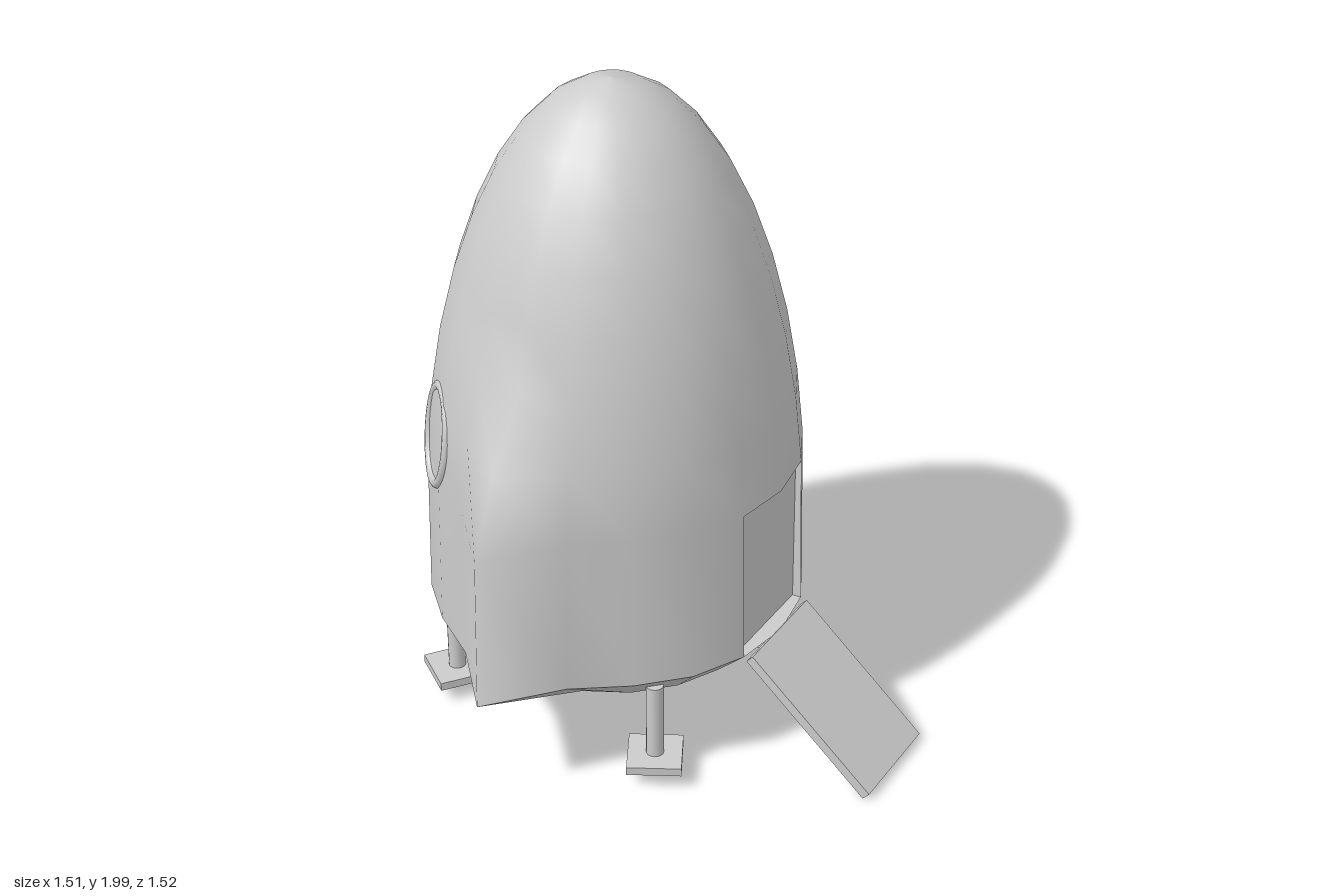
import * as THREE from 'three';

const CX = -0.193, SIDES = 20;
const RIM = 10; // ring at the widest part of the hull
const DOOR_X = 0.31;

const material = (extra = {}) => new THREE.MeshStandardMaterial({ color: 0xcccccc, ...extra });

function add(parent, name, geometry, extra) {
  const mesh = new THREE.Mesh(geometry, material(extra));
  mesh.name = name;
  parent.add(mesh);
  return mesh;
}

// Hull rings from the nose down: [height, radius, fin reach at the two sharp sides]
const rings = [];
for (let k = 0; k < RIM; k++) {
  const a = THREE.MathUtils.degToRad(9 * k);
  rings.push([0.635 + 1.365 * Math.cos(a), 0.555 * Math.sin(a), 0]);
}
rings[8][2] = 0.64;
rings[9][2] = 0.74;
rings.push([0.37, 0.558, 0.758], [0.265, 0.45, 0], [0.241, 0.23, 0], [0.235, 0, 0]);

// Point on a ring; columns 5 and 15 are the fin edges, their neighbours swell slightly
function hullPoint(k, j) {
  const [y, r, fin] = rings[k];
  const a = (j / SIDES) * Math.PI * 2;
  let z = r * Math.sin(a);
  const distance = Math.abs((((j % 10) + 10) % 10) - 5);
  if (fin && distance === 0) z = Math.sign(z) * fin;
  if (fin && distance === 1) z *= 1 + 0.28 * (fin - r);
  return [CX + r * Math.cos(a), y, z];
}

// Skin between two rings, leaving out cells for which skip() is true
function skin(first, last, skip = () => false) {
  const positions = [], index = [];
  for (let k = first; k <= last; k++)
    for (let j = 0; j < SIDES; j++) positions.push(...hullPoint(k, j));
  for (let k = first; k < last; k++)
    for (let j = 0; j < SIDES; j++) {
      if (skip(k, j)) continue;
      const row = (k - first) * SIDES, next = (j + 1) % SIDES;
      const a = row + j, b = row + next, c = a + SIDES, d = b + SIDES;
      if (rings[k][1] > 0) index.push(a, b, c);
      if (rings[k + 1][1] > 0) index.push(b, d, c);
    }
  const g = new THREE.BufferGeometry();
  g.setAttribute('position', new THREE.Float32BufferAttribute(positions, 3));
  g.setIndex(index);
  g.computeVertexNormals();
  return g;
}

// Recess behind the door opening: walls around it and a flat back
function doorRecess() {
  const rim = [[9, -1], [9, 0], [9, 1], [10, 1], [10, 0], [10, -1]].map(([k, j]) => hullPoint(k, j));
  const back = rim.map(([, y, z]) => [DOOR_X, y, z]);
  const p = [];
  const quad = (a, b, c, d) => p.push(...a, ...b, ...c, ...a, ...c, ...d);
  rim.forEach((v, i) => {
    const n = (i + 1) % rim.length;
    quad(v, back[i], back[n], rim[n]);
  });
  quad(back[0], back[2], back[3], back[5]);
  const g = new THREE.BufferGeometry();
  g.setAttribute('position', new THREE.Float32BufferAttribute(p, 3));
  g.computeVertexNormals();
  return g;
}

export function createModel() {
  const model = new THREE.Group();
  model.name = 'landingCapsule';

  // Hull with the door opening cut out
  const isDoor = (k, j) => k === 9 && (j === 0 || j === SIDES - 1);
  add(model, 'hull', skin(0, RIM, isDoor), { side: THREE.DoubleSide });
  add(model, 'underside', skin(RIM, RIM + 1));
  add(model, 'bottomPlate', skin(RIM + 1, RIM + 3));
  add(model, 'doorway', doorRecess(), { side: THREE.DoubleSide, flatShading: true });

  // Ramp
  const ramp = add(model, 'ramp', new THREE.BoxGeometry(0.52, 0.03, 0.33));
  ramp.position.set(0.546, 0.19, 0);
  ramp.rotation.z = -0.725;

  // Oval portholes: [x, z, heading of the outward normal in degrees]
  for (const [x, z, heading] of [[-0.55, 0.38, -44], [-0.718, -0.01, -90], [-0.525, -0.42, -136]]) {
    const porthole = new THREE.Group();
    porthole.name = 'porthole';
    const frame = add(porthole, 'portholeFrame', new THREE.TorusGeometry(0.15, 0.018, 10, 32));
    frame.scale.x = 0.72;
    const glass = add(porthole, 'portholeGlass', new THREE.CircleGeometry(0.15, 32), { side: THREE.DoubleSide });
    glass.scale.x = 0.72;
    glass.position.z = 0.006;
    porthole.position.set(x, 0.957, z);
    porthole.rotation.set(-0.13, THREE.MathUtils.degToRad(heading), 0, 'YXZ');
    model.add(porthole);
  }

  // Landing legs: [x, z, turn of the foot in degrees]
  for (const [x, z, turn] of [[-0.54, -0.35, 0], [0.143, -0.35, 18], [-0.587, 0.295, -37], [0.15, 0.36, 28]]) {
    const leg = new THREE.Group();
    leg.name = 'landingLeg';
    add(leg, 'strut', new THREE.CylinderGeometry(0.026, 0.026, 0.26, 16)).position.y = 0.19;
    add(leg, 'foot', new THREE.BoxGeometry(0.16, 0.026, 0.16)).position.y = 0.067;
    leg.position.set(x, 0, z);
    leg.rotation.y = THREE.MathUtils.degToRad(turn);
    model.add(leg);
  }
  return model;
}
